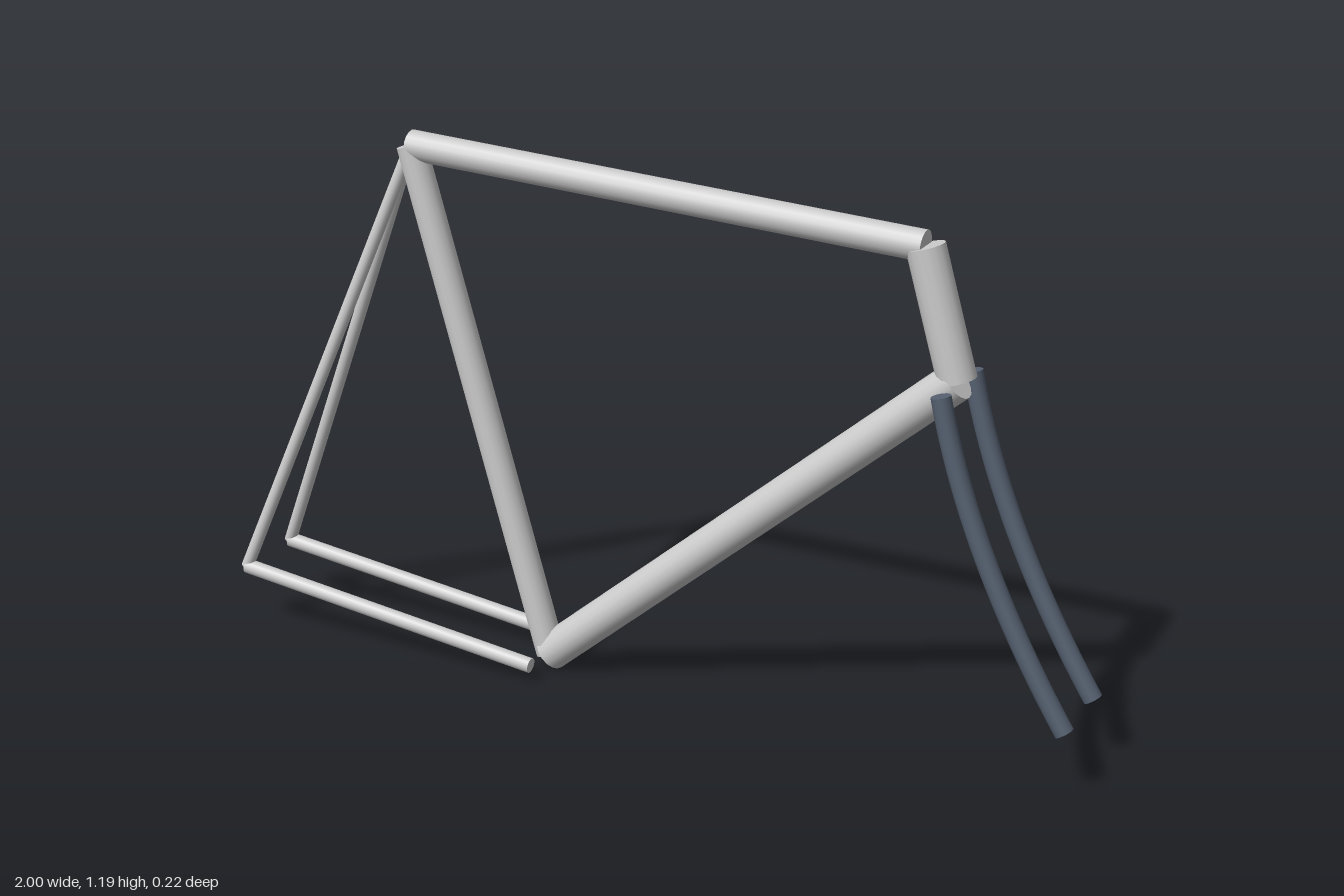
import * as THREE from 'three';

const grey = new THREE.MeshStandardMaterial({ color: 0xcccccc });
const forkPaint = new THREE.MeshStandardMaterial({ color: 0x556070 });
const UP = new THREE.Vector3(0, 1, 0);
const v = (x, y, z = 0) => new THREE.Vector3(x, y, z);

// Straight capped tube between two points
function tube(name, a, b, radius) {
  const dir = b.clone().sub(a);
  const mesh = new THREE.Mesh(new THREE.CylinderGeometry(radius, radius, dir.length(), 16), grey);
  mesh.name = name;
  mesh.position.copy(a).add(b).multiplyScalar(0.5);
  mesh.quaternion.setFromUnitVectors(UP, dir.normalize());
  return mesh;
}

// Curved fork blade with closed ends
function forkBlade(name, z) {
  const radius = 0.021;
  const curve = new THREE.QuadraticBezierCurve3(v(0.69, 0.81, z), v(0.757, 0.49, z), v(0.98, 0.136, z));
  const blade = new THREE.Group();
  blade.name = name;
  blade.add(new THREE.Mesh(new THREE.TubeGeometry(curve, 24, radius, 16), forkPaint));
  for (const t of [0, 1]) {
    const cap = new THREE.Mesh(new THREE.CircleGeometry(radius, 16), forkPaint);
    cap.position.copy(curve.getPoint(t));
    cap.quaternion.setFromUnitVectors(v(0, 0, 1), curve.getTangent(t).multiplyScalar(t ? 1 : -1));
    blade.add(cap);
  }
  return blade;
}

export function createModel() {
  const model = new THREE.Group();
  model.name = 'bicycleFrame';

  // Joints of the frame
  const seatTop = v(-0.57, 1.156);
  const bottomBracket = v(-0.245, 0.033);
  const headTop = v(0.613, 1.086);
  const headBottom = v(0.69, 0.815);

  // Main triangle
  model.add(
    tube('topTube', seatTop, headTop, 0.033),
    tube('seatTube', seatTop, bottomBracket, 0.033),
    tube('downTube', bottomBracket, headBottom, 0.042),
    tube('headTube', headTop, headBottom, 0.041),
  );

  // Paired rear stays and fork blades
  for (const [side, z] of [['front', 0.09], ['back', -0.09]]) {
    const axle = v(-0.985, 0.136, z);
    model.add(
      tube(`${side}SeatStay`, seatTop, axle, 0.014),
      tube(`${side}ChainStay`, axle, v(-0.247, 0.035, z), 0.017),
      forkBlade(`${side}ForkBlade`, z),
    );
  }
  return model;
}
